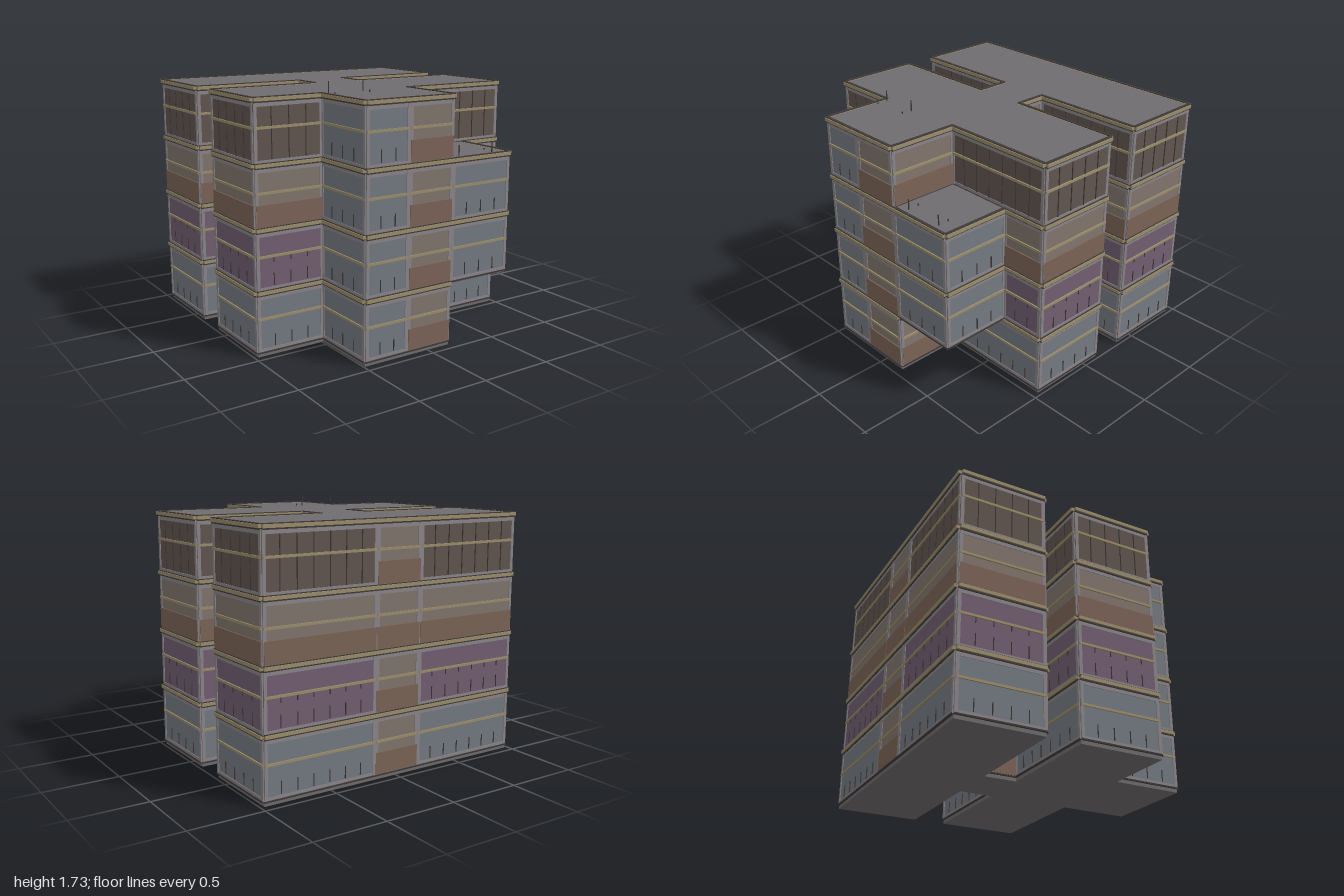
import * as THREE from 'three';

const mat = (color) => new THREE.MeshStandardMaterial({ color });
const M = {
  roof: mat(0x6f6c6e), dark: mat(0x3f3a38), frame: mat(0x8a8589), trim: mat(0x9c8e6c),
  glass: mat(0x757a83), purple: mat(0x725f72), tan: mat(0x82766e), brown: mat(0x7c6457), shade: mat(0x625650),
};
const unit = new THREE.BoxGeometry(1, 1, 1);
const STEP = 0.405, BASE = 0.03;
const BAR_KIND = ['glass', 'purple', 'brick', 'shade'];

// box given by its limits
function box(parent, name, m, x0, x1, y0, y1, z0, z1) {
  const b = new THREE.Mesh(unit, m);
  b.name = name;
  b.position.set((x0 + x1) / 2, (y0 + y1) / 2, (z0 + z1) / 2);
  b.scale.set(x1 - x0, y1 - y0, z1 - z0);
  parent.add(b);
}

// one window bay, seen along local +z, from x = a to x = b
function bay(wall, kind, a, b) {
  const w = 0.022, top = 0.38;
  box(wall, 'panel', M[kind === 'brick' ? 'tan' : kind], a, b, 0, top, -0.01, 0.003);
  box(wall, 'frameSide', M.frame, a, a + w, 0, top, -0.01, 0.008);
  box(wall, 'frameSide', M.frame, b - w, b, 0, top, -0.01, 0.008);
  box(wall, 'frameTop', M.frame, a, b, top - 0.03, top, -0.01, 0.007);
  box(wall, 'frameBottom', M.frame, a, b, 0, w, -0.01, 0.007);
  box(wall, 'rail', M.trim, a + 0.004, b - 0.004, 0.213, 0.229, -0.01, 0.012);
  if (kind === 'brick') {
    box(wall, 'spandrel', M.brown, a + 0.004, b - 0.004, 0.008, 0.148, -0.01, 0.011);
    return;
  }
  // slim uprights: full height on the top floor, short elsewhere
  const n = Math.max(2, Math.round((b - a) / 0.12));
  for (let k = 1; k < n; k++) {
    const x = a + ((b - a) * k) / n;
    const mullion = (y0, y1, m) => box(wall, 'mullion', m, x - 0.002, x + 0.002, y0, y1, 0, 0.009);
    if (kind === 'shade') mullion(w, top - 0.03, M.dark);
    else mullion(0.03, 0.11, M.dark);
    if (kind === 'purple') mullion(0.18, 0.213, M.dark);
  }
}

// footprint corners; xw is the right side of the front wing on that floor
const outline = (xw) => [
  [-0.49, 0.94], [xw, 0.94], [xw, 0.45], [0.975, 0.45], [0.975, -0.13], [0.18, -0.13],
  [0.18, -0.36], [0.975, -0.36], [0.975, -0.945], [-0.975, -0.945], [-0.975, -0.36],
  [-0.18, -0.36], [-0.18, -0.13], [-0.975, -0.13], [-0.975, 0.45], [-0.49, 0.45],
];

// bays of wall k on floor i as [kind, start, end] measured along the wall
function baysOf(k, i, wide, len) {
  const bar = BAR_KIND[i];
  if (k === 0) {
    const list = [['glass', 0, 0.32], ['brick', 0.32, 0.66]];
    if (wide) list.push(['glass', 0.66, len]);
    return list;
  }
  if (k === 1) return [[wide ? 'glass' : 'brick', 0, len]];
  if (k === 15) return [['glass', 0, len]];
  if (k === 5 || k === 11) return [['brick', 0, len]];
  if (k === 8) return [[bar, 0, 0.805], ['brick', 0.805, 1.145], [bar, 1.145, len]];
  return [[bar, 0, len]];
}

function makeFloor(i) {
  const floor = new THREE.Group();
  floor.name = 'floor' + (i + 1);
  const wide = i === 1 || i === 2;
  const pts = outline(wide ? 0.65 : 0.17);
  const y0 = BASE + STEP * i;

  // solid core of the storey
  const low = i === 0 ? 0 : y0 - 0.015;
  const shape = new THREE.Shape(pts.map(([x, z]) => new THREE.Vector2(x, -z)));
  const geo = new THREE.ExtrudeGeometry(shape, { depth: y0 + STEP - low, bevelEnabled: false });
  geo.rotateX(-Math.PI / 2);
  const core = new THREE.Mesh(geo, M.roof);
  core.name = 'core';
  core.position.y = low;
  floor.add(core);

  // walls: local x runs along the wall, local z points outward
  pts.forEach(([x, z], k) => {
    const [nx, nz] = pts[(k + 1) % pts.length];
    const len = Math.hypot(nx - x, nz - z);
    const wall = new THREE.Group();
    wall.name = 'wall';
    wall.position.set(x, y0, z);
    wall.rotation.y = Math.atan2(z - nz, nx - x);
    for (const [kind, a, b] of baysOf(k, i, wide, len)) bay(wall, kind, a, b);
    box(wall, 'corniceShadow', M.dark, 0, len, 0.374, 0.384, -0.01, 0.013);
    box(wall, 'cornice', M.trim, 0, len, 0.384, 0.406, -0.012, 0.021);
    box(wall, 'corniceCap', M.dark, 0, len, 0.406, 0.411, -0.006, 0.015);
    box(wall, 'sill', M.dark, 0, len, -0.006, 0.004, -0.01, 0.012);
    floor.add(wall);
  });
  return floor;
}

export function createModel() {
  const model = new THREE.Group();
  model.name = 'building';
  for (let i = 0; i < 4; i++) model.add(makeFloor(i));

  // thin rods on the main roof and the lower annex roof
  const rod = (x, z, y, h) => box(model, 'roofRod', M.dark, x - 0.003, x + 0.003, y, y + h, z - 0.003, z + 0.003);
  for (const x of [-0.46, -0.2]) {
    rod(x, 0.48, 1.64, 0.085);
    rod(x, 0.555, 1.64, 0.025);
  }
  for (const x of [0.26, 0.54]) {
    rod(x, 0.895, 1.24, 0.075);
    rod(x, 0.82, 1.24, 0.02);
  }
  return model;
}
